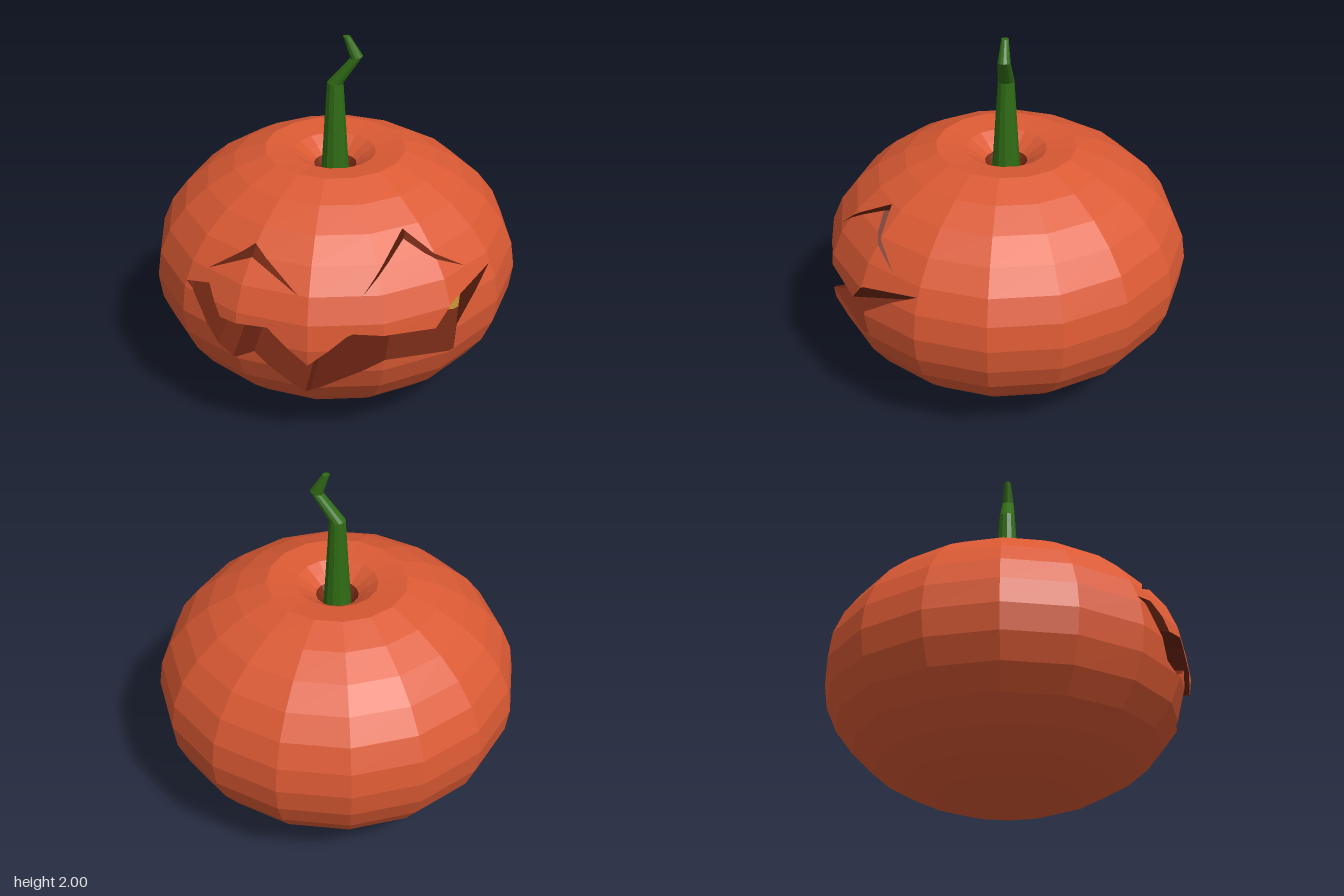
import * as THREE from 'three';

const SIDES = 16;
const POCKET_DEPTH = 0.4;

// Carved outlines, counter-clockwise in the xy plane
const MOUTH = [
  [-0.68, 0.88], [-0.64, 0.86], [-0.55, 0.71], [-0.49, 0.61], [-0.40, 0.57], [-0.28, 0.645],
  [-0.03, 0.38], [0, 0.41], [0.38, 0.64], [0.71, 0.575], [0.72, 0.73], [0.86, 0.93],
  [0.69, 0.86], [0.62, 0.75], [0.38, 0.785], [0.21, 0.80], [0, 0.62], [-0.21, 0.80],
  [-0.37, 0.79], [-0.47, 0.78], [-0.54, 0.92],
];
const RIGHT_BROW = [[-0.55, 0.985], [-0.31, 1.10], [-0.055, 0.98], [-0.30, 1.15]];
const LEFT_BROW = [[0.265, 0.985], [0.43, 1.17], [0.74, 0.985], [0.55, 1.12], [0.42, 1.205]];

const cross2 = (a, b, p) => (b.x - a.x) * (p.y - a.y) - (b.y - a.y) * (p.x - a.x);

function area(poly) {
  let sum = 0;
  poly.forEach((p, i) => {
    const q = poly[(i + 1) % poly.length];
    sum += p.x * q.y - q.x * p.y;
  });
  return sum / 2;
}

// Split a convex 3D polygon by the line a-b as seen along z
function split(poly, a, b) {
  const inside = [], outside = [];
  poly.forEach((p, i) => {
    const q = poly[(i + 1) % poly.length];
    const dp = cross2(a, b, p), dq = cross2(a, b, q);
    if (dp >= 0) inside.push(p);
    if (dp <= 0) outside.push(p);
    if (dp * dq < 0) {
      const m = p.clone().lerp(q, dp / (dp - dq));
      inside.push(m);
      outside.push(m);
    }
  });
  return { inside, outside };
}

const usable = (poly) => poly.length > 2 && area(poly) > 1e-8;

// Cut one convex triangle out of a list of polygons
function cut(polys, tri, removed) {
  const kept = [];
  for (const poly of polys) {
    let rest = poly;
    const pieces = [];
    for (let i = 0; i < 3 && usable(rest); i++) {
      const { inside, outside } = split(rest, tri[i], tri[(i + 1) % 3]);
      if (usable(outside)) pieces.push(outside);
      rest = inside;
    }
    if (usable(rest)) {
      removed.push(rest);
      kept.push(...pieces);
    } else kept.push(poly);
  }
  return kept;
}

// Turn convex polygons into a flat-shaded mesh
function polygonMesh(name, polys, color) {
  const pos = [];
  for (const poly of polys) {
    for (let i = 1; i < poly.length - 1; i++) {
      const tri = new THREE.Triangle(poly[0], poly[i], poly[i + 1]);
      if (tri.getArea() < 1e-9) continue;
      for (const p of [tri.a, tri.b, tri.c]) pos.push(p.x, p.y, p.z);
    }
  }
  const geo = new THREE.BufferGeometry();
  geo.setAttribute('position', new THREE.Float32BufferAttribute(pos, 3));
  geo.computeVertexNormals();
  const mesh = new THREE.Mesh(geo, new THREE.MeshStandardMaterial({ color, flatShading: true }));
  mesh.name = name;
  return mesh;
}

// Facets of a profile turned around y
function turnedFacets(profile) {
  const point = ([r, y], i) => {
    const a = (i / SIDES) * Math.PI * 2;
    return new THREE.Vector3(r * Math.sin(a), y, r * Math.cos(a));
  };
  const facets = [];
  for (let j = 0; j < profile.length - 1; j++) {
    for (let i = 0; i < SIDES; i++) {
      facets.push([point(profile[j], i), point(profile[j], i + 1),
        point(profile[j + 1], i + 1), point(profile[j + 1], i)]);
    }
  }
  return facets;
}

function createPumpkin() {
  // Squashed sphere up to the rim, then a dent
  const profile = [];
  for (let k = -8; k <= 6; k++) {
    const t = (k * Math.PI) / 16;
    profile.push([0.99 * Math.cos(t), 0.71 + 0.71 * Math.sin(t)]);
  }
  profile.push([0.22, 1.345], [0.16, 1.305], [0.115, 1.27]);

  const outlines = [MOUTH, RIGHT_BROW, LEFT_BROW].map((o) => o.map(([x, y]) => new THREE.Vector2(x, y)));
  const triangles = outlines.flatMap((o) =>
    THREE.ShapeUtils.triangulateShape(o, []).map((f) => {
      const t = f.map((i) => o[i]);
      return area(t) < 0 ? t.reverse() : t;
    }));

  // Carve the front facets
  const skin = [], removed = [];
  for (const facet of turnedFacets(profile)) {
    const front = facet.every((p) => p.z > -1e-6 && p.y < 1.31);
    if (!front) { skin.push(facet); continue; }
    let polys = [facet];
    for (const tri of triangles) polys = cut(polys, tri, removed);
    skin.push(...polys);
  }

  // Pocket floors follow the skin; walls run straight back from the outlines
  const back = (p) => new THREE.Vector3(p.x, p.y, p.z - POCKET_DEPTH);
  const onLine = (p, a, b) => Math.abs(cross2(a, b, p)) < 1e-5 * a.distanceTo(b)
    && (p.x - a.x) * (p.x - b.x) + (p.y - a.y) * (p.y - b.y) < 1e-6;
  const onOutline = (p, q) => outlines.some((o) => o.some((a, i) => {
    const b = o[(i + 1) % o.length];
    return onLine(p, a, b) && onLine(q, a, b);
  }));
  const walls = [];
  for (const poly of removed) {
    poly.forEach((p, i) => {
      const q = poly[(i + 1) % poly.length];
      if (onOutline(p, q)) walls.push([p, q, back(q), back(p)]);
    });
  }

  const pumpkin = new THREE.Group();
  pumpkin.name = 'pumpkin';
  pumpkin.add(
    polygonMesh('skin', skin, 0xdb5a34),
    polygonMesh('carvedWalls', walls, 0x6e2613),
    polygonMesh('carvedGlow', removed.map((poly) => poly.map(back)), 0xd9a23c),
    polygonMesh('stemSocket', turnedFacets([[0.115, 1.27], [0.07, 1.2], [0, 1.2]]), 0x7a2c16),
  );
  return pumpkin;
}

// Crooked stem: rings of [x, y, radius, tilt]
function createStem() {
  const rings = [[0, 1.2, 0.078, 0], [0, 1.36, 0.067, 0], [0, 1.74, 0.044, 0],
    [0.112, 1.888, 0.034, 0.2], [0.06, 2, 0.019, 0]];
  const geo = new THREE.CylinderGeometry(1, 1, 1, 12, rings.length - 1);
  const p = geo.attributes.position;
  for (let i = 0; i < p.count; i++) {
    const [x, y, r, tilt] = rings[Math.round((p.getY(i) + 0.5) * (rings.length - 1))];
    const dx = p.getX(i) * r;
    p.setXYZ(i, x + dx, y + dx * tilt, p.getZ(i) * r);
  }
  geo.computeVertexNormals();
  const stem = new THREE.Mesh(geo, new THREE.MeshStandardMaterial({ color: 0x2f6b14, flatShading: true }));
  stem.name = 'stem';
  return stem;
}

export function createModel() {
  const model = new THREE.Group();
  model.name = 'carvedPumpkin';
  model.add(createPumpkin(), createStem());
  return model;
}
